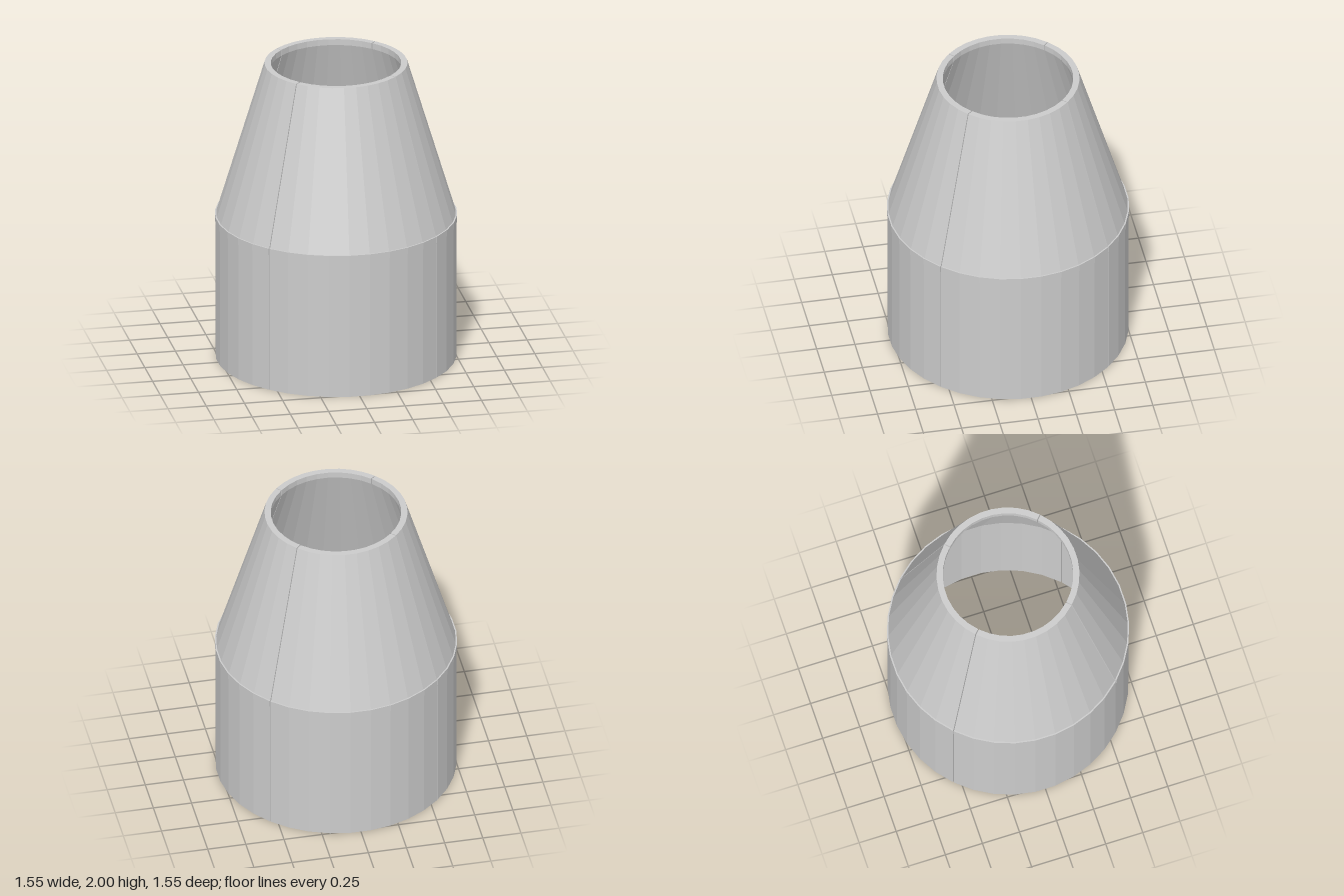
import * as THREE from 'three';
import { mergeGeometries } from 'three/addons/utils/BufferGeometryUtils.js';

const QUARTER = Math.PI / 2;
const SEGMENTS = 9;
const SPREAD = 0.004; // each quarter is pushed out a little, leaving thin slits

const material = new THREE.MeshStandardMaterial({
  color: 0xcccccc,
  flatShading: true,
  side: THREE.DoubleSide,
});

// Quarter turn of a closed [radius, height] profile, with both cut ends capped
function quarterShell(profile) {
  const points = profile.map(([r, y]) => new THREE.Vector2(r, y));
  const start = -QUARTER / 2;
  const wall = new THREE.LatheGeometry([...points, points[0]], SEGMENTS, start, QUARTER);
  const caps = [start, start + QUARTER].map((angle) =>
    new THREE.ShapeGeometry(new THREE.Shape(points)).rotateY(angle - QUARTER));
  return mergeGeometries([wall, ...caps]).translate(0, 0, SPREAD);
}

export function createModel() {
  const model = new THREE.Group();

  // Thin straight wall of the lower half
  const skirt = quarterShell([[0.755, 0], [0.77, 0], [0.77, 0.925], [0.755, 0.925]]);

  // Thicker tapered wall with a narrow lip around its foot
  const cone = quarterShell([
    [0.725, 0.925], [0.774, 0.925], [0.774, 0.97], [0.765, 0.97],
    [0.455, 2], [0.415, 2], [0.415, 1.96], [0.725, 0.97],
  ]);

  ['front', 'left', 'back', 'right'].forEach((side, i) => {
    const quarter = new THREE.Group();
    quarter.name = side + 'Quarter';
    quarter.rotation.y = i * QUARTER;
    for (const [name, geometry] of [['cylinderWall', skirt], ['coneWall', cone]]) {
      const mesh = new THREE.Mesh(geometry, material);
      mesh.name = name;
      quarter.add(mesh);
    }
    model.add(quarter);
  });

  return model;
}
